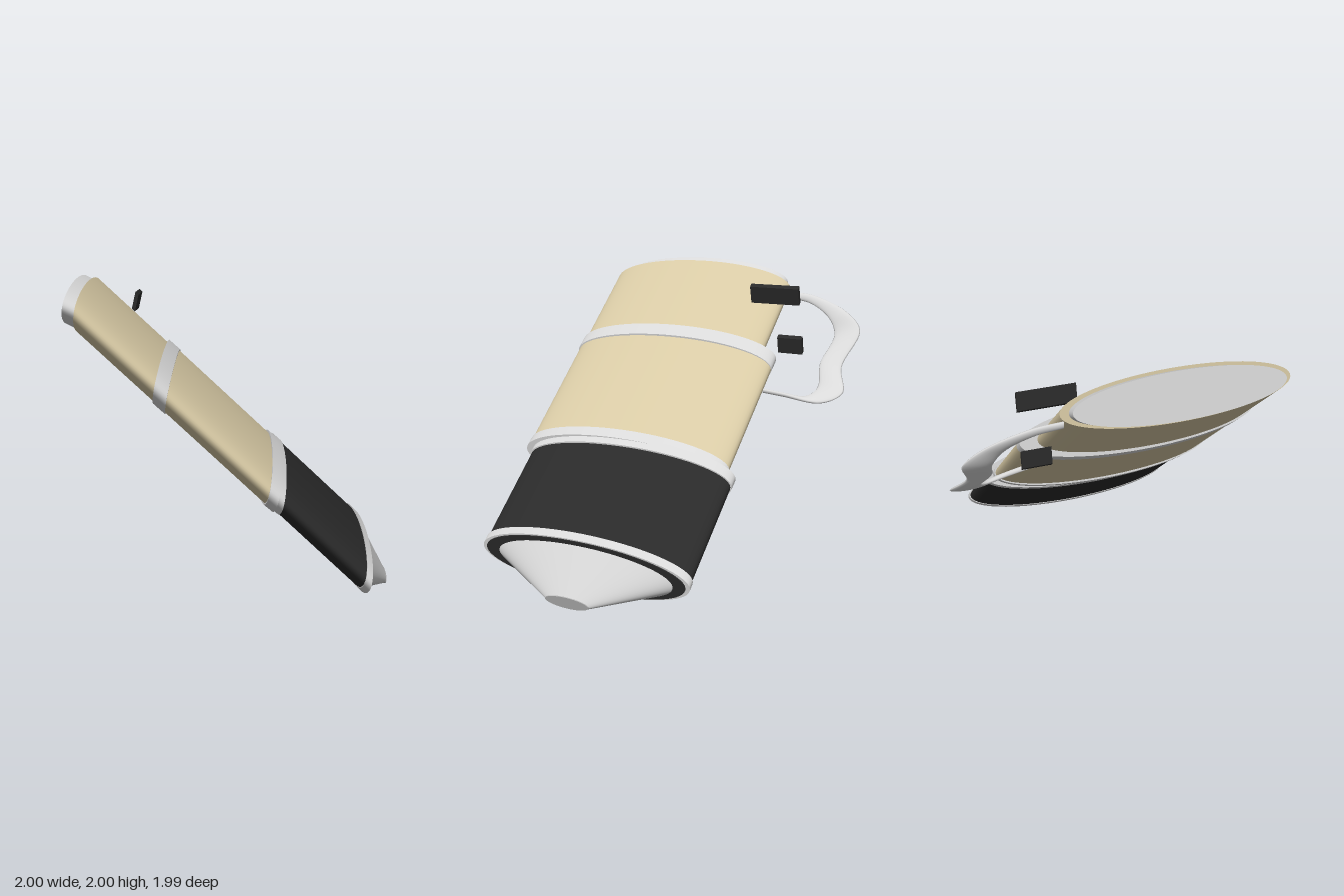
import * as THREE from 'three';

const mat = (name, color) => {
  const m = new THREE.MeshStandardMaterial({ color });
  m.name = name;
  return m;
};

export function createModel() {
  const group = new THREE.Group();
  const tan = mat('tan', 0xd8caa5);
  const black = mat('black', 0x2a2a2a);
  const silver = mat('silver', 0xd9d9d9);
  const grey = mat('grey', 0xb0b0b0);

  const add = (name, geometry, material) => {
    const mesh = new THREE.Mesh(geometry, material);
    mesh.name = name;
    group.add(mesh);
    return mesh;
  };

  // Slanted elliptical drum between two centres [x, y]; z = centre depth,
  // halfZ = half width, v = half height vector of the ellipse, taper = end scale
  const drum = (name, material, start, end, z, halfZ, v, taper = 1) => {
    const g = new THREE.CylinderGeometry(taper, 1, 1, 72);
    const m = new THREE.Matrix4().makeBasis(
      new THREE.Vector3(v[0], v[1], 0),
      new THREE.Vector3(end[0] - start[0], end[1] - start[1], 0),
      new THREE.Vector3(0, 0, -halfZ));
    m.setPosition((start[0] + end[0]) / 2, (start[1] + end[1]) / 2, z);
    g.applyMatrix4(m);
    return add(name, g, material);
  };

  // Barrel, from the top cap down to the tip
  drum('topCap', silver, [-0.97, 1.855], [-0.89, 1.815], 0.265, 0.645, [0.03, 0.145]);
  drum('upperBarrel', tan, [-0.897, 1.822], [-0.40, 1.358], 0.27, 0.703, [0.028, 0.163]);
  drum('upperRing', silver, [-0.45, 1.403], [-0.38, 1.34], 0.225, 0.77, [0.034, 0.176]);
  drum('middleBarrel', tan, [-0.40, 1.358], [0.23, 0.768], 0.222, 0.763, [0.029, 0.168]);
  drum('middleRing', silver, [0.207, 0.79], [0.26, 0.745], 0.222, 0.772, [0.036, 0.178]);
  drum('gripRing', silver, [0.245, 0.757], [0.295, 0.713], 0.165, 0.775, [0.034, 0.176]);
  drum('grip', black, [0.27, 0.735], [0.80, 0.235], 0.165, 0.765, [0.031, 0.169]);
  drum('lowerRing', silver, [0.78, 0.257], [0.815, 0.222], 0.165, 0.775, [0.034, 0.175]);
  drum('gripEndFace', black, [0.81, 0.227], [0.819, 0.218], 0.165, 0.745, [0.032, 0.168]);
  drum('noseCone', silver, [0.817, 0.21], [0.987, 0.04], 0.157, 0.652, [0.032, 0.152], 0.247);
  drum('tip', grey, [0.985, 0.042], [0.991, 0.038], 0.157, 0.161, [0.008, 0.0375]);

  // Two thin blades standing out of the back
  const blade = (name, corners, z0, z1) => {
    const shape = new THREE.Shape(corners.map(([x, y]) => new THREE.Vector2(x, y)));
    const g = new THREE.ExtrudeGeometry(shape, { depth: z1 - z0, bevelEnabled: false });
    g.translate(0, 0, z0);
    add(name, g, black);
  };
  blade('upperBlade', [[-0.65, 1.865], [-0.675, 1.755], [-0.655, 1.735], [-0.63, 1.845]], -0.61, -0.255);
  blade('lowerBlade', [[-0.725, 1.52], [-0.745, 1.415], [-0.725, 1.395], [-0.705, 1.5]], -0.61, -0.43);

  // Wavy clip: oval section swept between an outer and an inner edge
  const curve = (pts) => new THREE.CatmullRomCurve3(pts.map((p) => new THREE.Vector3(...p)));
  const outer = curve([
    [-0.935, 1.79, -0.42], [-0.93, 1.775, -0.60], [-0.89, 1.68, -0.86], [-0.84, 1.57, -0.975],
    [-0.66, 1.35, -0.925], [-0.51, 1.20, -0.995], [-0.43, 1.14, -0.88], [-0.40, 1.165, -0.62], [-0.385, 1.18, -0.48]]);
  const inner = curve([
    [-0.915, 1.75, -0.42], [-0.905, 1.725, -0.58], [-0.865, 1.635, -0.74], [-0.82, 1.53, -0.80],
    [-0.66, 1.36, -0.77], [-0.53, 1.22, -0.81], [-0.46, 1.17, -0.76], [-0.415, 1.185, -0.60], [-0.40, 1.2, -0.48]]);
  const thick = new THREE.Vector3(0.68, 0.73, 0).multiplyScalar(0.016);
  const steps = 96, sides = 16, pos = [], idx = [];
  for (let i = 0; i <= steps; i++) {
    const a = outer.getPoint(i / steps), b = inner.getPoint(i / steps);
    const mid = a.clone().add(b).multiplyScalar(0.5);
    const half = a.clone().sub(b).multiplyScalar(0.5);
    for (let j = 0; j < sides; j++) {
      const t = (j / sides) * Math.PI * 2;
      const p = mid.clone().addScaledVector(half, Math.cos(t)).addScaledVector(thick, Math.sin(t));
      pos.push(p.x, p.y, p.z);
      if (i < steps) {
        const k = i * sides + j, n = i * sides + ((j + 1) % sides);
        idx.push(k, n, k + sides, n, n + sides, k + sides);
      }
    }
  }
  const clip = new THREE.BufferGeometry();
  clip.setAttribute('position', new THREE.Float32BufferAttribute(pos, 3));
  // Section runs outer edge (-z) to upper face, path runs down +x: faces point outward
  clip.setIndex(idx);
  clip.computeVertexNormals();
  add('clip', clip, silver);

  return group;
}
